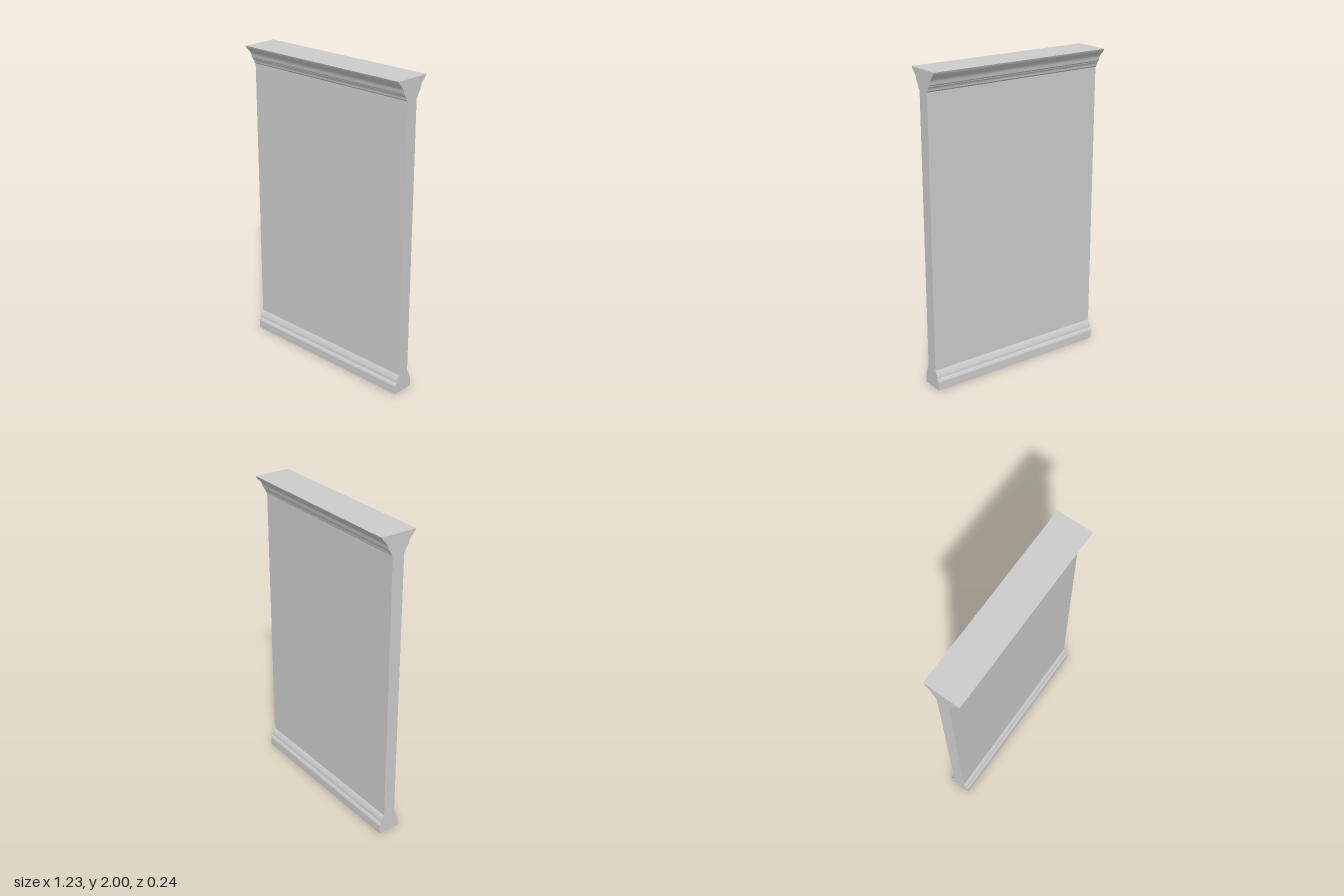
import * as THREE from 'three';
import { toCreasedNormals } from 'three/addons/utils/BufferGeometryUtils.js';

const WIDTH = 1.23;
const WALL = 0.04; // half thickness of the wall

// Half of the cross-section as a line of [z, y] points, from the floor up
function halfProfile() {
  // Baseboard: flat face, then small rounded steps back to the wall
  const base = [
    [0.073, 0], [0.073, 0.055], [0.069, 0.064], [0.065, 0.072], [0.061, 0.076],
    [0.060, 0.086], [0.057, 0.096], [0.052, 0.107], [0.046, 0.116], [WALL, 0.125],
  ];
  // Crown: two small steps below the cove
  const steps = [
    [WALL, 1.875], [0.049, 1.884], [0.051, 1.895], [0.055, 1.903],
    [0.060, 1.908], [0.062, 1.914], [0.070, 1.921],
  ];
  // Crown: smooth double curve flaring out to the top edge
  const cove = new THREE.CubicBezierCurve(
    new THREE.Vector2(0.072, 1.928), new THREE.Vector2(0.076, 1.968),
    new THREE.Vector2(0.108, 1.968), new THREE.Vector2(0.118, 2));
  return [...base, ...steps].map(([z, y]) => new THREE.Vector2(z, y)).concat(cove.getPoints(12));
}

export function createModel() {
  const group = new THREE.Group();
  group.name = 'wallSection';

  // Mirror the half profile and run it along the width as one solid
  const half = halfProfile();
  const mirrored = half.map((p) => new THREE.Vector2(-p.x, p.y)).reverse();
  const shape = new THREE.Shape([...half, ...mirrored]);
  const geometry = new THREE.ExtrudeGeometry(shape, { depth: WIDTH, bevelEnabled: false });
  geometry.translate(0, 0, -WIDTH / 2);
  geometry.rotateY(Math.PI / 2);

  const wall = new THREE.Mesh(
    toCreasedNormals(geometry, THREE.MathUtils.degToRad(20)),
    new THREE.MeshStandardMaterial({ color: 0xcccccc }));
  wall.name = 'wallWithBaseboardAndCrown';
  group.add(wall);
  return group;
}
